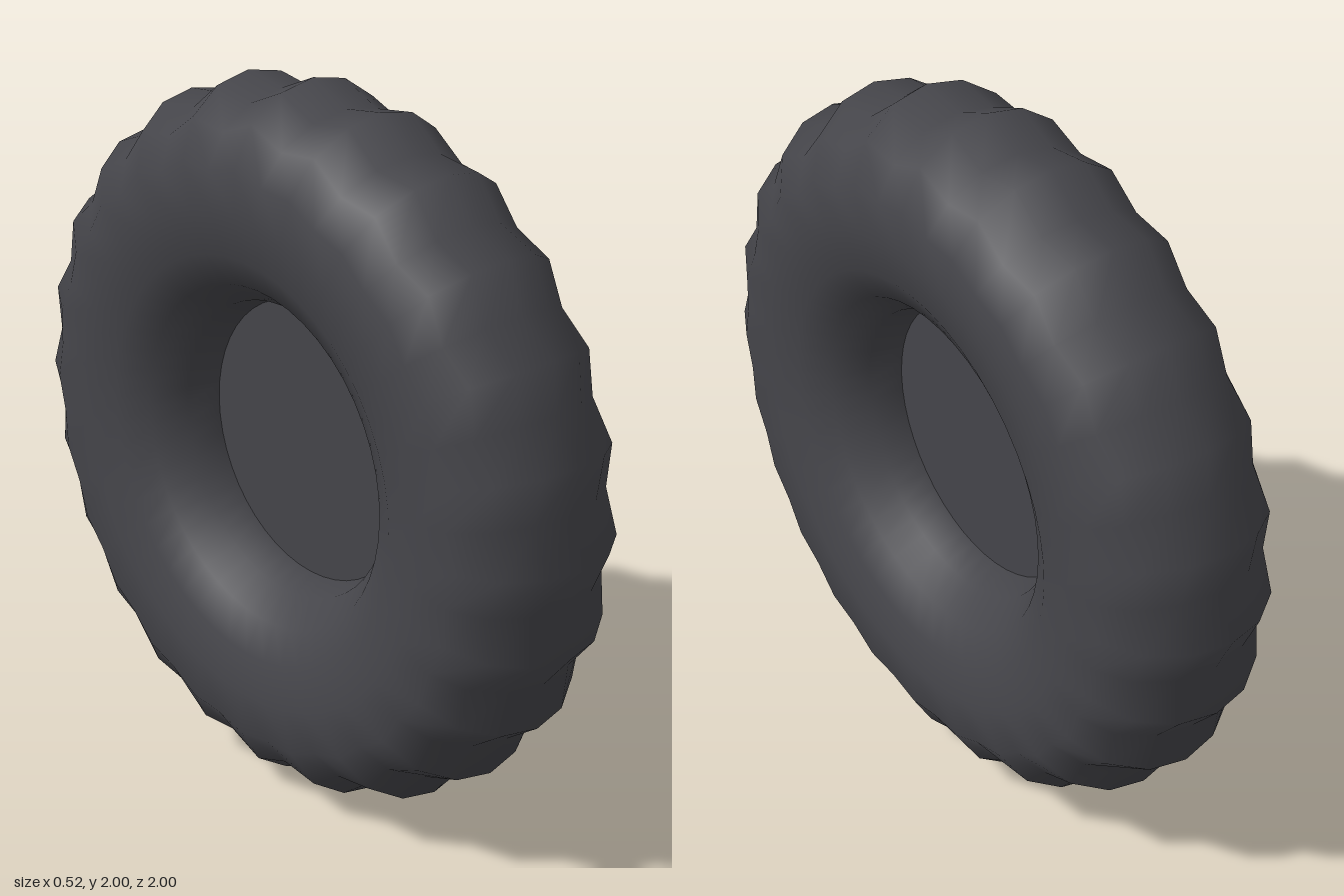
import * as THREE from 'three';

const RINGS = 48; // alternating ridge and groove rings, 24 ridges in all

// Half cross-section from tread centre to bore: [x, ridge radius, groove depth]
const HALF = [
  [0, 1, 0.046],
  [0.106, 0.979, 0.045],
  [0.201, 0.915, 0.036],
  [0.259, 0.81, 0.016],
  [0.26, 0.68, 0],
  [0.24, 0.565, 0],
  [0.19, 0.475, 0],
  [0.105, 0.412, 0],
  [0, 0.39, 0],
];

function tyreGeometry() {
  // Mirror the half section into a closed loop
  const mirrored = HALF.slice(1, -1).reverse().map(([x, r, d]) => [-x, r, d]);
  const loop = [...HALF, ...mirrored];
  const n = loop.length;
  const positions = [];
  const index = [];
  for (let i = 0; i < RINGS; i++) {
    const a = (i / RINGS) * Math.PI * 2;
    for (const [x, ridge, depth] of loop) {
      const r = ridge - (i % 2) * depth;
      positions.push(x, r * Math.cos(a), r * Math.sin(a));
    }
    const next = (i + 1) % RINGS;
    for (let j = 0; j < n; j++) {
      const k = (j + 1) % n;
      const p = i * n + j, q = next * n + j, s = next * n + k, t = i * n + k;
      index.push(p, q, t, q, s, t);
    }
  }
  const geometry = new THREE.BufferGeometry();
  geometry.setAttribute('position', new THREE.Float32BufferAttribute(positions, 3));
  geometry.setIndex(index);
  geometry.computeVertexNormals();
  return geometry;
}

export function createModel() {
  const group = new THREE.Group();
  group.name = 'wheel';
  const rubber = new THREE.MeshStandardMaterial({ color: 0x45454a });
  rubber.name = 'dark rubber';

  // Scalloped tyre
  const tyre = new THREE.Mesh(tyreGeometry(), rubber);
  tyre.name = 'tyre';
  tyre.position.y = 1;
  group.add(tyre);

  // Flat disc closing the bore
  const disc = new THREE.Mesh(new THREE.CylinderGeometry(0.395, 0.395, 0.02, RINGS), rubber);
  disc.name = 'hubDisc';
  disc.rotation.z = Math.PI / 2;
  disc.position.y = 1;
  group.add(disc);

  return group;
}
